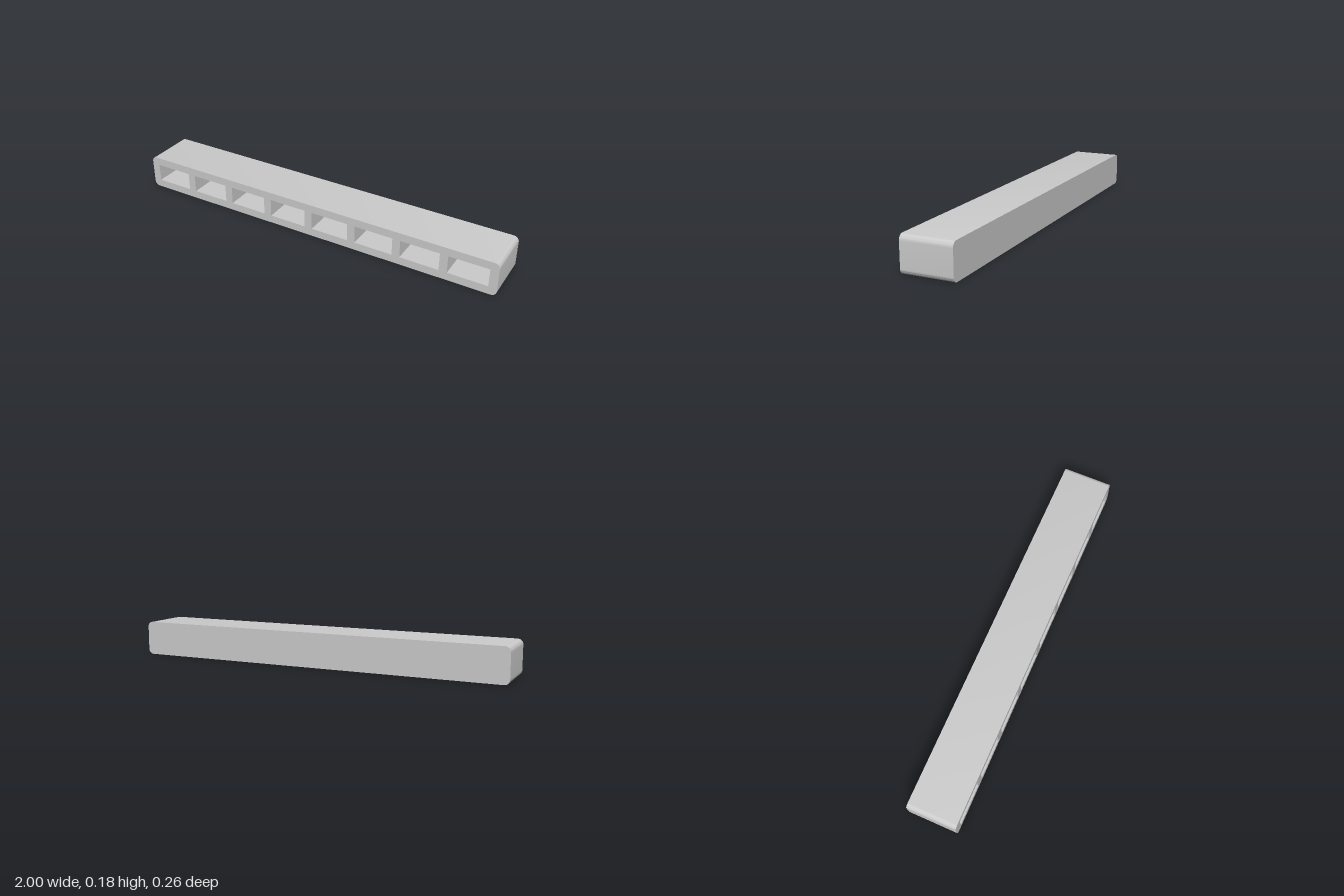
import * as THREE from 'three';
import { toCreasedNormals } from 'three/addons/utils/BufferGeometryUtils.js';

const W = 2, H = 0.178, D = 0.256, R = 0.027;          // body size and corner radius
const COUNT = 8, PITCH = 0.2445;                       // row of pockets
const PW = 0.203, PH = 0.094, PD = 0.214;              // pocket size

// Rounded rectangle standing on y = 0
function bodyOutline() {
  const x = W / 2, s = new THREE.Shape();
  s.absarc(x - R, R, R, -Math.PI / 2, 0);
  s.absarc(x - R, H - R, R, 0, Math.PI / 2);
  s.absarc(-x + R, H - R, R, Math.PI / 2, Math.PI);
  s.absarc(-x + R, R, R, Math.PI, Math.PI * 1.5);
  s.closePath();
  return s;
}

export function createModel() {
  const group = new THREE.Group();
  const material = new THREE.MeshStandardMaterial({ color: 0xcccccc });
  const inner = new THREE.MeshStandardMaterial({ color: 0xcccccc, side: THREE.BackSide });
  const add = (name, geometry, mat = material) => {
    const mesh = new THREE.Mesh(geometry, mat);
    mesh.name = name;
    group.add(mesh);
    return mesh;
  };
  const centres = Array.from({ length: COUNT }, (_, i) => (i - (COUNT - 1) / 2) * PITCH);

  // Outer skin: side walls of the extrusion only, smooth around the corners
  const solid = new THREE.ExtrudeGeometry(bodyOutline(), { depth: D, bevelEnabled: false, curveSegments: 8 });
  const { start, count } = solid.groups[1];
  const skin = new THREE.BufferGeometry();
  skin.setAttribute('position', new THREE.BufferAttribute(
    solid.attributes.position.array.slice(start * 3, (start + count) * 3), 3));
  add('outerSkin', toCreasedNormals(skin, 0.6).translate(0, 0, -D / 2));

  // Closed back
  add('backFace', new THREE.ShapeGeometry(bodyOutline(), 8).rotateY(Math.PI).translate(0, 0, -D / 2));

  // Front frame with the pocket openings
  const front = bodyOutline();
  const y0 = (H - PH) / 2, y1 = y0 + PH;
  for (const c of centres) {
    const a = c - PW / 2, b = c + PW / 2;
    front.holes.push(new THREE.Path([[a, y0], [a, y1], [b, y1], [b, y0]].map(p => new THREE.Vector2(...p))));
  }
  add('frontFrame', new THREE.ShapeGeometry(front, 8).translate(0, 0, D / 2));

  // Blind pockets: boxes seen from inside, without their front side
  const pocket = new THREE.BoxGeometry(PW, PH, PD);
  const index = Array.from(pocket.index.array);
  index.splice(pocket.groups[4].start, pocket.groups[4].count);
  pocket.setIndex(index);
  pocket.clearGroups();
  centres.forEach((c, i) => add(`pocket${i + 1}`, pocket, inner).position.set(c, H / 2, (D - PD) / 2));

  return group;
}
